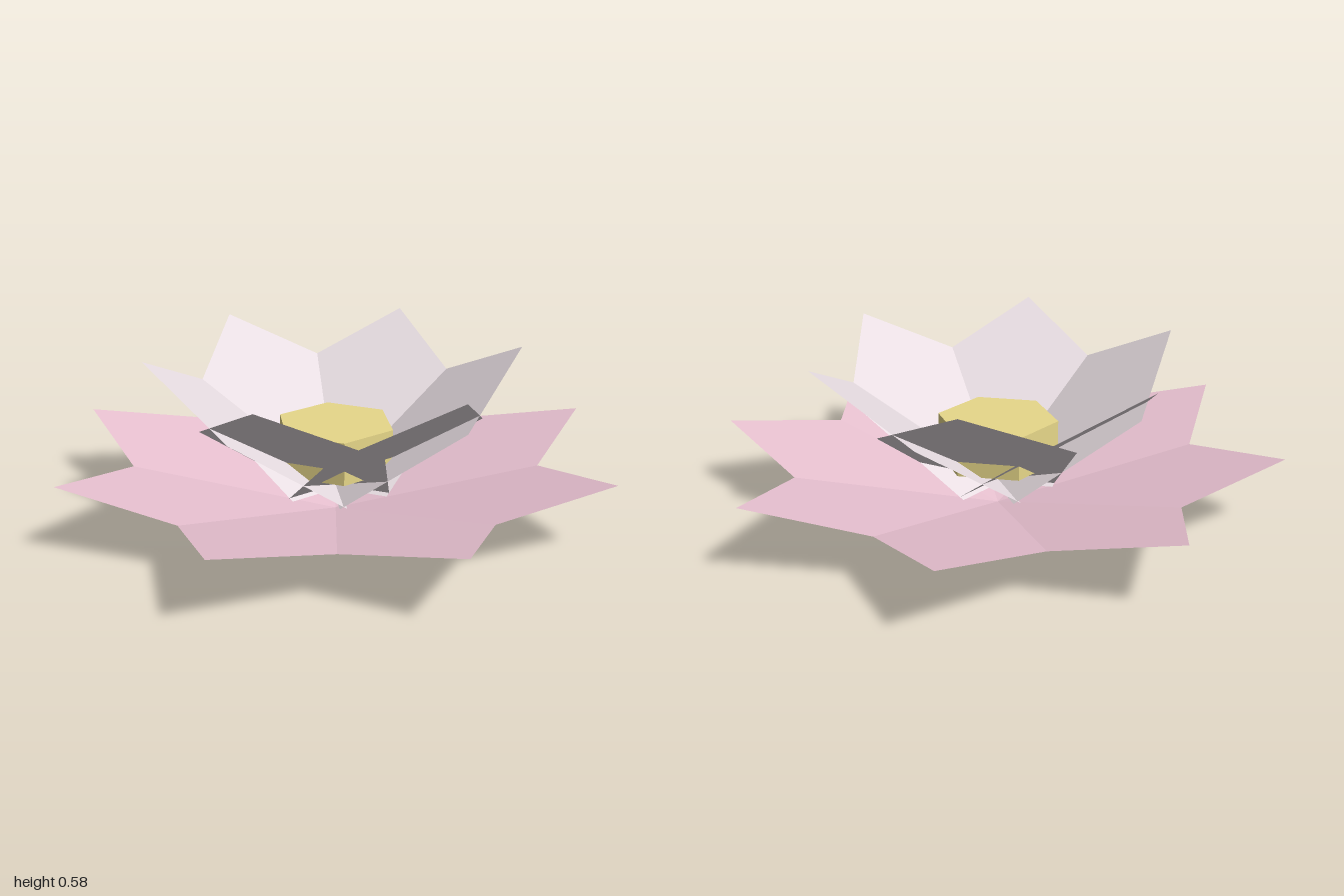
import * as THREE from 'three';

const pink = new THREE.MeshStandardMaterial({ color: 0xeec6d6, side: THREE.DoubleSide, flatShading: true });
pink.name = 'petal pink';
const white = new THREE.MeshStandardMaterial({ color: 0xf4e9ee, side: THREE.DoubleSide, flatShading: true });
white.name = 'petal white';
const yellow = new THREE.MeshStandardMaterial({ color: 0xe8d88a, flatShading: true });
yellow.name = 'centre yellow';

// Flat five-sided petal leaning up and out along +z.
// reach: horizontal distance to the tip; base: how far it starts behind the axis
function petalGeometry(reach, rise, base) {
  const tilt = Math.atan2(rise, reach);
  const length = Math.hypot(rise, reach);
  const start = -base / Math.cos(tilt);
  const shape = new THREE.Shape([
    new THREE.Vector2(-0.2, start),
    new THREE.Vector2(0.2, start),
    new THREE.Vector2(0.33, length * 0.6),
    new THREE.Vector2(0, length),
    new THREE.Vector2(-0.33, length * 0.6),
  ]);
  return new THREE.ShapeGeometry(shape).rotateX(Math.PI / 2 - tilt);
}

// Ring of equal petals around the vertical axis
function petalRing(name, count, geometry, material, y) {
  const ring = new THREE.Group();
  ring.name = name + 's';
  for (let i = 0; i < count; i++) {
    const petal = new THREE.Mesh(geometry, material);
    petal.name = name + (i + 1);
    petal.position.y = y;
    petal.rotation.y = (i / count) * Math.PI * 2;
    ring.add(petal);
  }
  return ring;
}

export function createModel() {
  const flower = new THREE.Group();
  flower.name = 'waterLily';

  // Low, wide outer petals and steeper inner petals
  flower.add(petalRing('outerPetal', 8, petalGeometry(1, 0.243, 0.03), pink, 0.0073));
  flower.add(petalRing('innerPetal', 6, petalGeometry(0.664, 0.488, 0.013), white, 0.097));

  // Six-sided flower centre with corners on the x axis
  const centre = new THREE.Mesh(new THREE.CylinderGeometry(0.215, 0.215, 0.155, 6), yellow);
  centre.name = 'flowerCentre';
  centre.rotation.y = Math.PI / 6;
  centre.position.y = 0.2575;
  flower.add(centre);

  return flower;
}
